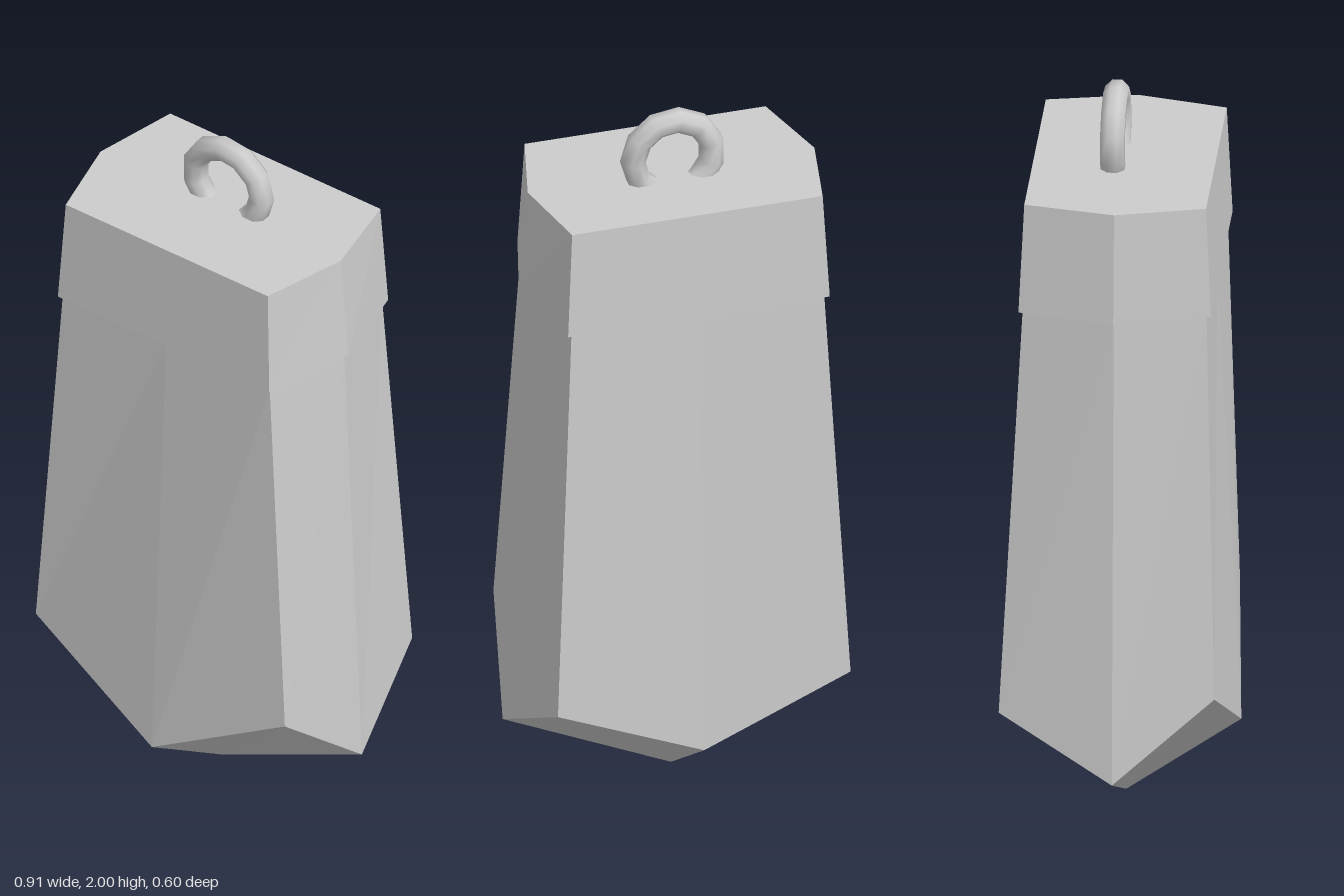
import * as THREE from 'three';
import { mergeVertices } from 'three/addons/utils/BufferGeometryUtils.js';

const material = new THREE.MeshStandardMaterial({ color: 0xcccccc, flatShading: true });
const smooth = new THREE.MeshStandardMaterial({ color: 0xcccccc });

// Eight-point mirrored ring, counter-clockwise from above.
// Arguments: front middle, front corner, side, back corner, back middle.
function ring(front, frontCorner, side, backCorner, back) {
  const mirror = ([x, y, z]) => [-x, y, z];
  return [front, frontCorner, side, backCorner, back,
    mirror(backCorner), mirror(side), mirror(frontCorner)];
}

// Closed faceted solid: walls between two rings, each end fanned to a point.
function facetedSolid(low, high, bottom, top) {
  const p = [];
  const tri = (a, b, c) => p.push(...a, ...b, ...c);
  low.forEach((a, i) => {
    const j = (i + 1) % low.length;
    tri(a, low[j], high[j]);
    tri(a, high[j], high[i]);
    tri(bottom, low[j], a);
    tri(top, high[i], high[j]);
  });
  const g = new THREE.BufferGeometry();
  g.setAttribute('position', new THREE.Float32BufferAttribute(p, 3));
  g.computeVertexNormals();
  return g;
}

export function createModel() {
  const group = new THREE.Group();
  const add = (name, geometry, mat) => {
    const mesh = new THREE.Mesh(geometry, mat);
    mesh.name = name;
    group.add(mesh);
    return mesh;
  };

  // Tapered crystal with a pointed, zigzag-cut lower end
  add('crystal', facetedSolid(
    ring([0, 0.21, 0.3], [0.403, 0.44, 0.263], [0.457, 0.21, 0], [0.397, 0.38, -0.3], [0, 0.21, -0.3]),
    ring([0, 1.5, 0.237], [0.335, 1.5, 0.237], [0.4, 1.5, 0], [0.343, 1.5, -0.242], [0, 1.5, -0.242]),
    [0, 0, 0], [0, 1.5, 0]), material);

  // Slightly wider cap over the top
  add('cap', facetedSolid(
    ring([0, 1.5, 0.249], [0.342, 1.5, 0.249], [0.413, 1.5, 0], [0.355, 1.5, -0.252], [0, 1.5, -0.252]),
    ring([0, 1.8, 0.235], [0.327, 1.8, 0.235], [0.389, 1.8, 0], [0.34, 1.8, -0.238], [0, 1.8, -0.238]),
    [0, 1.5, 0], [0, 1.8, 0]), material);

  // Hanging loop: octagonal wire bent into an eleven-sided ring, sunk into the cap
  const wire = [];
  for (let i = 0; i <= 8; i++) {
    const a = ((i + 0.5) / 8) * Math.PI * 2;
    wire.push(new THREE.Vector2(0.108 + 0.034 * Math.cos(a), 0.034 * Math.sin(a)));
  }
  let loop = new THREE.LatheGeometry(wire, 11, Math.PI / 2);
  loop.deleteAttribute('uv');
  loop.deleteAttribute('normal');
  loop = mergeVertices(loop, 1e-4);
  loop.rotateX(Math.PI / 2);
  loop.computeVertexNormals();
  add('hangingLoop', loop, smooth).position.set(0.004, 1.86, -0.028);

  return group;
}
